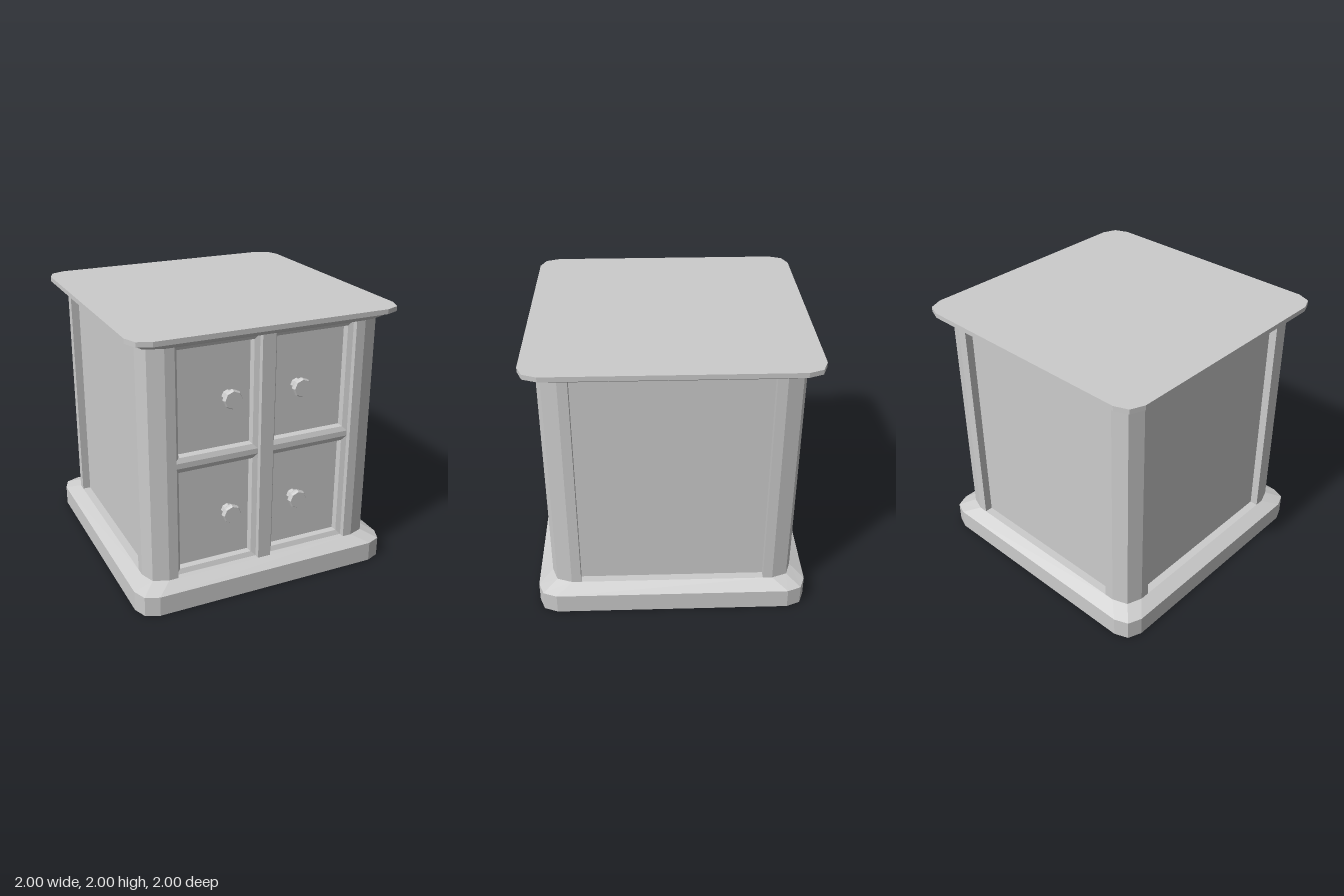
import * as THREE from 'three';

const material = new THREE.MeshStandardMaterial({ color: 0xcccccc, flatShading: true });

// Skin over a list of rings; the last ring is closed, the first one optionally
function loft(rings, closeStart) {
  const pos = [];
  const tri = (a, b, c) => pos.push(...a, ...b, ...c);
  const n = rings[0].length;
  for (let r = 0; r < rings.length - 1; r++) {
    for (let i = 0; i < n; i++) {
      const j = (i + 1) % n;
      tri(rings[r][i], rings[r][j], rings[r + 1][j]);
      tri(rings[r][i], rings[r + 1][j], rings[r + 1][i]);
    }
  }
  const first = rings[0], last = rings[rings.length - 1];
  for (let i = 1; i < n - 1; i++) {
    tri(last[0], last[i], last[i + 1]);
    if (closeStart) tri(first[0], first[i + 1], first[i]);
  }
  const geometry = new THREE.BufferGeometry();
  geometry.setAttribute('position', new THREE.Float32BufferAttribute(pos, 3));
  geometry.computeVertexNormals();
  return geometry;
}

// Square plan with clipped corners, at height y
function planRing(half, mid, flat, y) {
  const ring = [];
  for (let k = 0; k < 4; k++) {
    for (const [u, v] of [[half, flat], [mid, mid], [flat, half]]) {
      const [x, up] = [[u, v], [-v, u], [-u, -v], [v, -u]][k];
      ring.push([x, y, -up]);
    }
  }
  return ring;
}

// Upright rectangle inset from a drawer opening
function rectRing([x0, x1, y0, y1], inset, z) {
  return [
    [x0 + inset, y0 + inset, z], [x1 - inset, y0 + inset, z],
    [x1 - inset, y1 - inset, z], [x0 + inset, y1 - inset, z],
  ];
}

export function createModel() {
  const group = new THREE.Group();
  const add = (name, geometry, x = 0, y = 0, z = 0) => {
    const mesh = new THREE.Mesh(geometry, material);
    mesh.name = name;
    mesh.position.set(x, y, z);
    group.add(mesh);
    return mesh;
  };

  // Plinth with a sloping upper edge
  add('plinth', loft([
    planRing(1, 0.96, 0.86, 0),
    planRing(1, 0.96, 0.86, 0.15),
    planRing(0.9, 0.86, 0.75, 0.2),
  ], true));

  // Table top with the moulding below it
  add('top', loft([
    planRing(0.89, 0.85, 0.74, 1.905),
    planRing(0.935, 0.895, 0.79, 1.925),
    planRing(0.965, 0.925, 0.825, 1.955),
    planRing(1, 0.96, 0.86, 1.965),
    planRing(1, 0.96, 0.86, 2),
  ], true));

  // Carcass: recessed side and back panels
  add('carcass', new THREE.BoxGeometry(1.68, 1.72, 1.62), 0, 1.05, -0.03);

  // Corner posts
  const section = new THREE.Shape(
    [[0.68, 0.68], [0.9, 0.68], [0.9, 0.75], [0.86, 0.86], [0.75, 0.9], [0.68, 0.9]]
      .map(([x, y]) => new THREE.Vector2(x, y)));
  const post = new THREE.ExtrudeGeometry(section, { depth: 1.72, bevelEnabled: false });
  post.rotateX(-Math.PI / 2);
  for (let k = 0; k < 4; k++) add('cornerPost', post, 0, 0.19, 0).rotation.y = k * Math.PI / 2;

  // Front divider and the lower-set rails between the drawers
  add('divider', new THREE.BoxGeometry(0.1, 1.72, 0.12), 0, 1.05, 0.84);
  for (const s of [-1, 1]) {
    add('rail', new THREE.BoxGeometry(0.63, 0.04, 0.08), s * 0.365, 1.05, 0.82);
  }

  // Drawers with bevelled frames and faceted knobs
  const knob = new THREE.LatheGeometry(
    [[0.045, 0], [0.04, 0.04], [0.06, 0.05], [0.07, 0.065], [0.07, 0.085], [0.063, 0.1], [0, 0.1]]
      .map(([r, h]) => new THREE.Vector2(r, h)), 8);
  knob.rotateX(Math.PI / 2);
  for (const [y0, y1, knobY] of [[0.2, 1.03, 0.615], [1.07, 1.905, 1.485]]) {
    for (const s of [-1, 1]) {
      const opening = s > 0 ? [0.05, 0.68, y0, y1] : [-0.68, -0.05, y0, y1];
      add('drawerFront', loft([
        rectRing(opening, 0, 0.86),
        rectRing(opening, 0.035, 0.845),
        rectRing(opening, 0.047, 0.81),
      ], false));
      add('knob', knob, s * 0.265, knobY, 0.81);
    }
  }
  return group;
}
